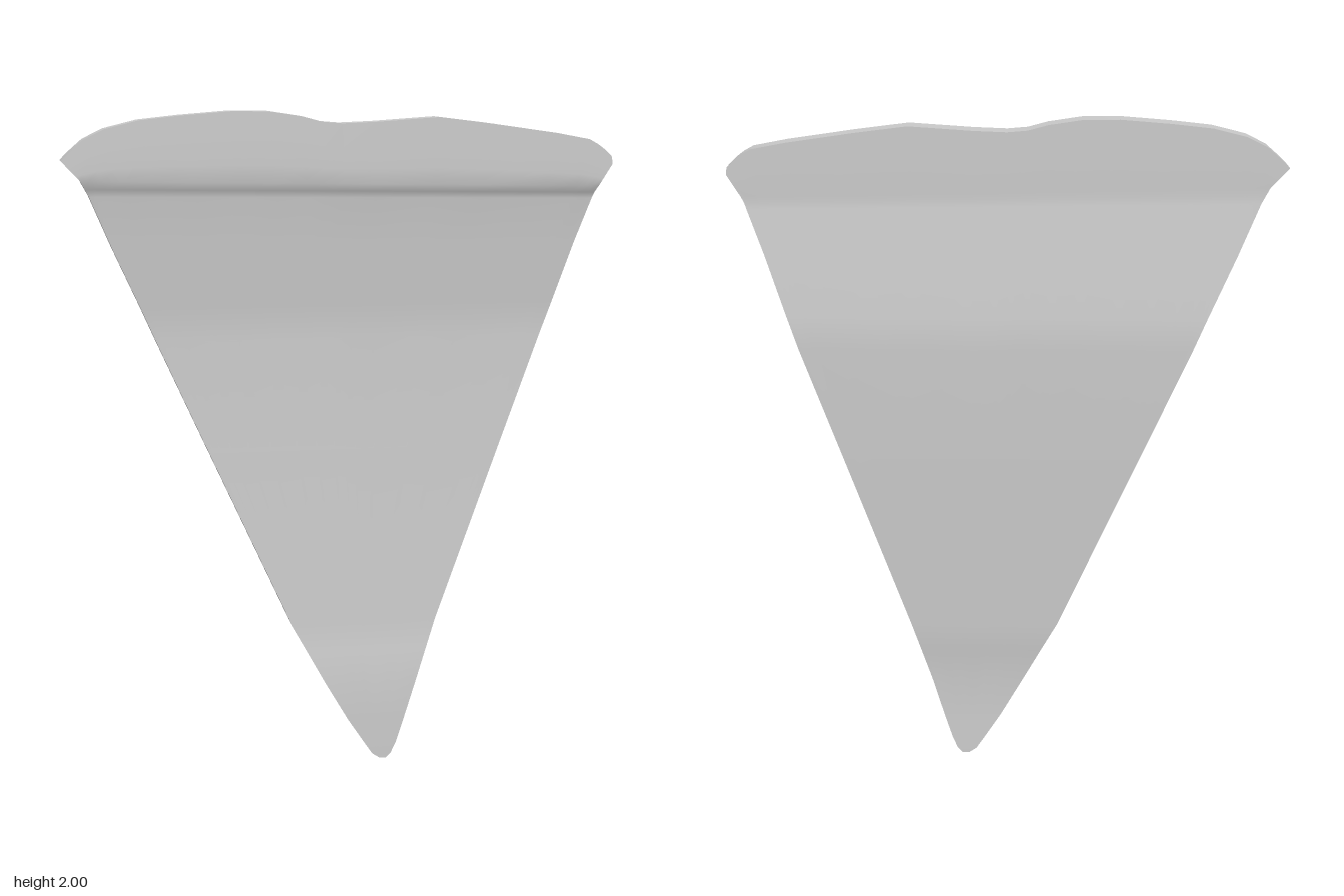
import * as THREE from 'three';
import { toCreasedNormals } from 'three/addons/utils/BufferGeometryUtils.js';

const lerp = THREE.MathUtils.lerp;

// Cross-sections from tip to crust: y, left x, right x, front z, back z, tilt
const SECTIONS = [
  [0, 0.12, 0.14, 0.04, -0.024, 0],
  [0.015, 0.097, 0.155, 0.04, -0.024, 0],
  [0.05, 0.073, 0.171, 0.041, -0.023, 0],
  [0.13, 0.02, 0.197, 0.041, -0.022, 0],
  [0.25, -0.05, 0.234, 0.042, -0.02, 0],
  [0.35, -0.105, 0.267, 0.033, -0.029, 0],
  [0.44, -0.155, 0.297, 0.024, -0.038, 0],
  [0.98, -0.4, 0.495, 0.01, -0.052, 0],
  [1.32, -0.553, 0.62, 0.003, -0.063, 0],
  [1.42, -0.597, 0.655, 0.011, -0.056, 0],
  [1.6, -0.679, 0.716, 0.027, -0.039, 0],
  [1.745, -0.745, 0.766, 0.04, -0.025, 0.01],
  [1.765, -0.757, 0.772, 0.048, -0.024, 0.012],
  [1.787, -0.77, 0.782, 0.059, -0.024, 0.014],
];

// Wavy top edge of the crust, left to right
const CRUST = [
  [-0.825, 1.86], [-0.8, 1.885], [-0.76, 1.92], [-0.7, 1.95], [-0.6, 1.975],
  [-0.48, 1.988], [-0.33, 2], [-0.22, 1.999], [-0.12, 1.984], [-0.06, 1.968],
  [0, 1.963], [0.1, 1.967], [0.29, 1.98], [0.45, 1.96], [0.65, 1.931],
  [0.75, 1.912], [0.777, 1.897], [0.8, 1.88], [0.82, 1.86], [0.823, 1.838],
];

function buildRows() {
  const x0 = CRUST[0][0], width = CRUST[CRUST.length - 1][0] - x0;
  const rows = SECTIONS.map(([y, l, r, front, back, tilt]) => CRUST.map(([cx]) => {
    const s = (cx - x0) / width;
    return { x: lerp(l, r, s), y: y + tilt * (1 - 2 * s), front, back };
  }));
  // Crust rows blend from the neck line to the wavy edge
  const neck = rows[rows.length - 1];
  for (const t of [0.25, 0.6, 1]) {
    rows.push(CRUST.map(([cx, cy], j) => ({
      x: lerp(neck[j].x, cx, t), y: lerp(neck[j].y, cy, t), front: 0.061, back: -0.025,
    })));
  }
  return rows;
}

function makeGeometry(positions, indices) {
  const g = new THREE.BufferGeometry();
  g.setAttribute('position', new THREE.Float32BufferAttribute(positions, 3));
  g.setIndex(indices);
  g.computeVertexNormals();
  return g;
}

// Smooth sheet over the grid of rows
function faceGeometry(rows, side) {
  const n = CRUST.length, indices = [];
  for (let i = 0; i < rows.length - 1; i++) {
    for (let j = 0; j < n - 1; j++) {
      const a = i * n + j, b = a + 1, c = b + n, d = a + n;
      if (side === 'front') indices.push(a, b, c, a, c, d);
      else indices.push(a, c, b, a, d, c);
    }
  }
  return makeGeometry(rows.flat().flatMap((p) => [p.x, p.y, p[side]]), indices);
}

// Wall joining front and back around the outline
function rimGeometry(rows) {
  const last = CRUST.length - 1, top = rows.length - 1;
  const loop = [
    ...rows[0].slice(0, last),
    ...rows.slice(0, top).map((r) => r[last]),
    ...rows[top].slice(1).reverse(),
    ...rows.slice(1).reverse().map((r) => r[0]),
  ];
  const indices = [];
  loop.forEach((p, i) => {
    const a = 2 * i, b = 2 * ((i + 1) % loop.length);
    indices.push(a, a + 1, b + 1, a, b + 1, b);
  });
  const positions = loop.flatMap((p) => [p.x, p.y, p.front, p.x, p.y, p.back]);
  return toCreasedNormals(makeGeometry(positions, indices), 0.7);
}

export function createModel() {
  const group = new THREE.Group();
  group.name = 'pizzaSlice';
  const material = new THREE.MeshStandardMaterial({ color: 0xcccccc });
  const rows = buildRows();
  const parts = {
    sliceFront: faceGeometry(rows, 'front'),
    sliceBack: faceGeometry(rows, 'back'),
    sliceRim: rimGeometry(rows),
  };
  for (const [name, geometry] of Object.entries(parts)) {
    const mesh = new THREE.Mesh(geometry, material);
    mesh.name = name;
    group.add(mesh);
  }
  return group;
}
